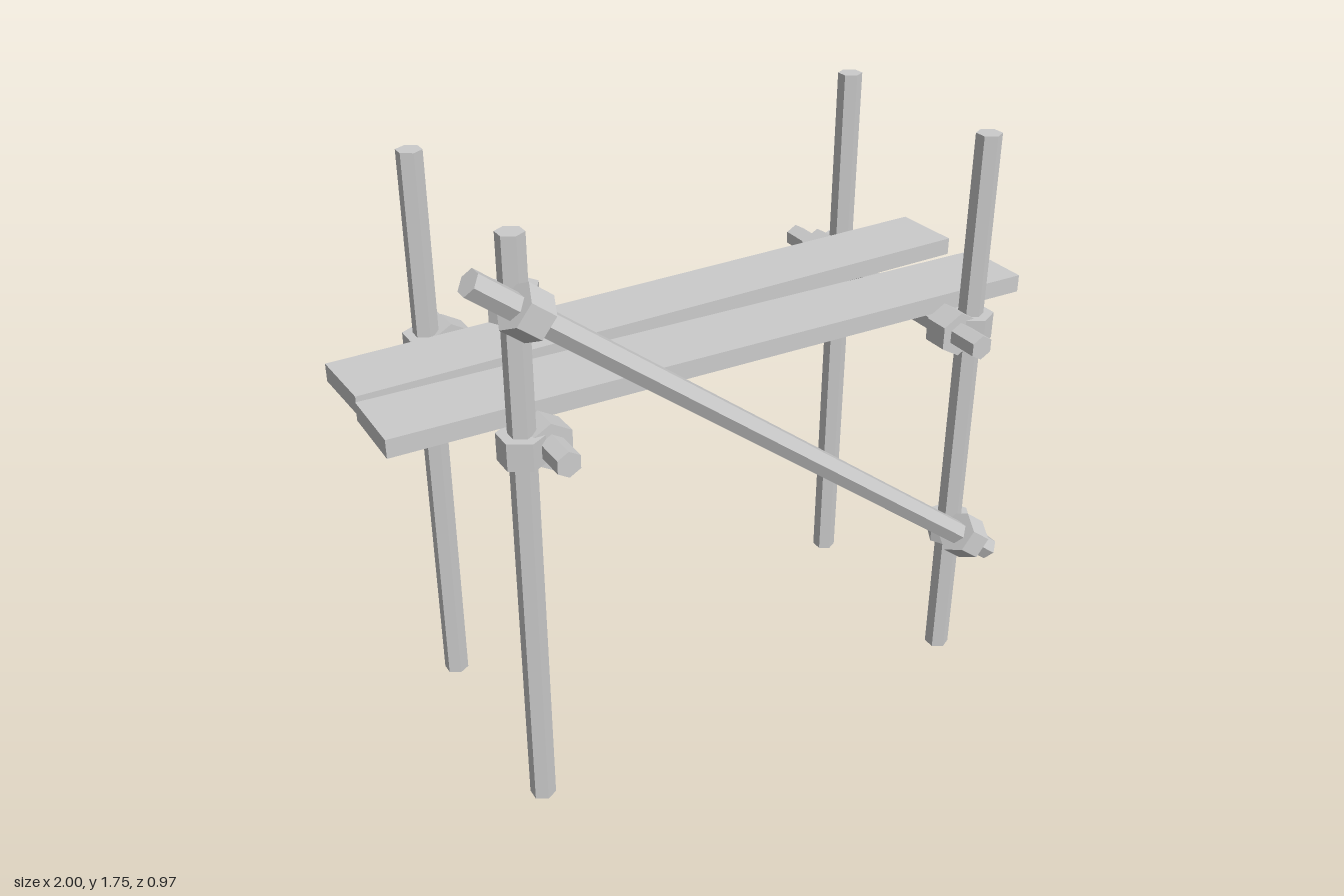
import * as THREE from 'three';

const material = new THREE.MeshStandardMaterial({ color: 0xcccccc, flatShading: true });
const POLE_R = 0.0375, COLLAR_R = 0.068, COLLAR_H = 0.08;

// Hexagonal bar centred on a point; twist turns it about its own axis
function hexBar(name, radius, length, position, { twist = 0, rx = 0, rz = 0 } = {}) {
  const geometry = new THREE.CylinderGeometry(radius, radius, length, 6).rotateY(twist);
  const mesh = new THREE.Mesh(geometry, material);
  mesh.name = name;
  mesh.position.set(...position);
  mesh.rotation.set(rx, 0, rz);
  return mesh;
}

function plank(name, length, depth, z, turn) {
  const mesh = new THREE.Mesh(new THREE.BoxGeometry(length, 0.053, depth), material);
  mesh.name = name;
  mesh.position.set(0, 1.237, z);
  mesh.rotation.y = turn;
  return mesh;
}

// Clamp made of two collars, one on the upright and one on the crossing pole
function coupler(name, polePoint, crossPoint, rotation, twist = 0) {
  const group = new THREE.Group();
  group.name = name;
  group.add(
    hexBar('uprightCollar', COLLAR_R, COLLAR_H, polePoint, { twist }),
    hexBar('crossCollar', COLLAR_R, COLLAR_H, crossPoint, { twist, ...rotation }),
  );
  return group;
}

export function createModel() {
  const model = new THREE.Group();
  model.name = 'scaffold';

  const frontZ = 0.345, backZ = -0.319, ledgerY = 1.168;
  const braceZ = 0.42, slope = 0.769, braceX = 0.044, braceY = 1.034;
  const along = { rx: Math.PI / 2 };
  const tilt = { rz: Math.PI / 2 - Math.atan(slope) };

  const sides = [
    { side: 'right', x: -0.658, ledgerX: -0.594 },
    { side: 'left', x: 0.787, ledgerX: 0.719 },
  ];
  for (const { side, x, ledgerX } of sides) {
    // Ledger carrying the planks
    model.add(hexBar(`${side}Ledger`, POLE_R, 0.97, [ledgerX, ledgerY, 0], along));

    // Uprights and their ledger couplers
    for (const [end, z] of [['Front', frontZ], ['Back', backZ]]) {
      model.add(hexBar(`${side}${end}Upright`, POLE_R, 1.755, [x, 0.8775, z]));
      model.add(coupler(`${side}${end}Coupler`, [x, ledgerY, z], [ledgerX, ledgerY, z], along));
    }

    // Coupler where the brace crosses the front upright
    const y = braceY - (x - braceX) * slope;
    model.add(coupler(`${side}BraceCoupler`, [x, y, frontZ], [x, y, braceZ], tilt, Math.PI / 6));
  }

  // Diagonal brace across the front
  model.add(hexBar('diagonalBrace', POLE_R, 2.13, [braceX, braceY, braceZ], tilt));

  // Walking planks, the back one laid slightly askew
  model.add(plank('frontPlank', 2, 0.22, 0.193, 0));
  model.add(plank('backPlank', 1.99, 0.218, -0.097, 0.0415));

  return model;
}
